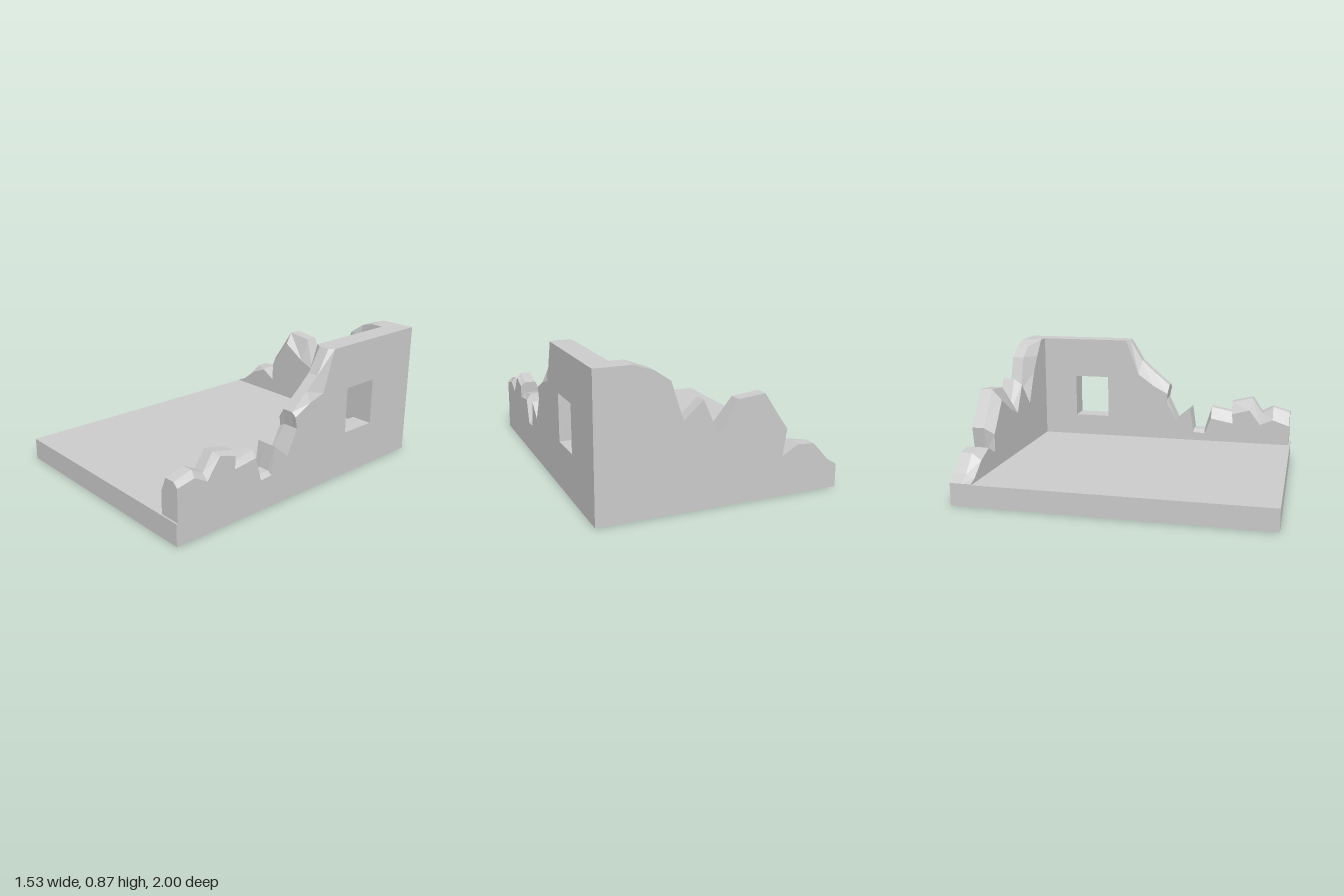
import * as THREE from 'three';

const FLOOR = 0.14;

// Ruined wall running along u, thickness along t. Each column is a broken top
// profile [[u, y], ...] at one depth t; the columns are lofted together.
function ruinedWall(columns, hole) {
  const pos = [];
  const tri = (...pts) => pts.forEach((p) => pos.push(...p));
  const quad = (a, b, c, d) => tri(a, b, c, a, c, d);
  const n = columns[0].top.length;
  const at = (i, j) => [...columns[j].top[i], columns[j].t];
  const foot = (i, j) => [columns[j].top[i][0], FLOOR, columns[j].t];

  // broken crown and the two ends
  for (let j = 0; j < columns.length - 1; j++) {
    for (let i = 0; i < n - 1; i++) quad(at(i, j), at(i, j + 1), at(i + 1, j + 1), at(i + 1, j));
    quad(foot(0, j), foot(0, j + 1), at(0, j + 1), at(0, j));
    quad(foot(n - 1, j + 1), foot(n - 1, j), at(n - 1, j), at(n - 1, j + 1));
  }

  // two broad faces, pierced by the window
  [columns[0], columns[columns.length - 1]].forEach(({ t, top }, side) => {
    const outline = [[top[0][0], FLOOR], [top[n - 1][0], FLOOR], ...[...top].reverse()];
    const shape = new THREE.Shape(outline.map((p) => new THREE.Vector2(...p)));
    if (hole) shape.holes.push(new THREE.Path(hole.map((p) => new THREE.Vector2(...p))));
    const face = new THREE.ShapeGeometry(shape);
    const p = face.attributes.position;
    const idx = face.index.array;
    for (let k = 0; k < idx.length; k += 3) {
      const pts = [0, 1, 2].map((m) => [p.getX(idx[k + m]), p.getY(idx[k + m]), t]);
      tri(...(side ? pts : pts.reverse()));
    }
  });

  // window reveal
  if (hole) {
    const t0 = columns[0].t, t1 = columns[columns.length - 1].t;
    hole.forEach((p, k) => {
      const q = hole[(k + 1) % hole.length];
      quad([...p, t0], [...p, t1], [...q, t1], [...q, t0]);
    });
  }

  const geo = new THREE.BufferGeometry();
  geo.setAttribute('position', new THREE.Float32BufferAttribute(pos, 3));
  geo.computeVertexNormals();
  return geo;
}

export function createModel() {
  const group = new THREE.Group();
  const mat = new THREE.MeshStandardMaterial({ color: 0xcccccc, flatShading: true });
  const add = (name, geo) => {
    const mesh = new THREE.Mesh(geo, mat);
    mesh.name = name;
    group.add(mesh);
    return mesh;
  };

  // floor slab
  add('floor', new THREE.BoxGeometry(1.53, FLOOR, 2)).position.y = FLOOR / 2;

  // back wall: high rear edge, chipped front edge
  const rear = [[-0.765, 0.145], [-0.7, 0.185], [-0.6, 0.295], [-0.49, 0.305], [-0.385, 0.245],
    [-0.41, 0.41], [-0.36, 0.48], [-0.255, 0.637], [-0.085, 0.62], [0.03, 0.42], [0.13, 0.64],
    [0.25, 0.535], [0.325, 0.765], [0.42, 0.83], [0.54, 0.87], [0.625, 0.87]];
  const front = [[-0.765, 0.145], [-0.71, 0.165], [-0.6, 0.25], [-0.48, 0.3], [-0.385, 0.245],
    [-0.38, 0.365], [-0.34, 0.42], [-0.24, 0.565], [-0.08, 0.465], [0.03, 0.42], [0.125, 0.6],
    [0.27, 0.44], [0.37, 0.65], [0.45, 0.76], [0.54, 0.87], [0.625, 0.87]];
  add('backWall', ruinedWall([
    { t: -1, top: rear }, { t: -0.92, top: rear }, { t: -0.86, top: front },
  ]));

  // side wall, profiles given as [z, y] from the front end to the back corner
  const ridge = [[0.99, 0.375], [0.87, 0.41], [0.79, 0.365], [0.72, 0.47], [0.57, 0.435],
    [0.575, 0.36], [0.42, 0.39], [0.37, 0.22], [0.29, 0.22], [0.265, 0.375], [0.16, 0.285],
    [0.085, 0.44], [0.1, 0.54], [-0.02, 0.64], [-0.11, 0.72], [-0.2, 0.87], [-1, 0.87]];
  const outer = [[0.99, 0.345], [0.87, 0.37], [0.78, 0.32], [0.69, 0.445], [0.575, 0.41],
    [0.58, 0.33], [0.42, 0.35], [0.375, 0.195], [0.29, 0.2], [0.265, 0.375], [0.16, 0.285],
    [0.085, 0.44], [0.1, 0.515], [-0.02, 0.575], [-0.14, 0.61], [-0.225, 0.87], [-1, 0.87]];
  const inner = [[0.99, 0.28], [0.87, 0.32], [0.78, 0.28], [0.7, 0.385], [0.575, 0.35],
    [0.58, 0.28], [0.42, 0.31], [0.375, 0.195], [0.29, 0.2], [0.265, 0.375], [0.16, 0.285],
    [0.085, 0.42], [0.09, 0.48], [-0.02, 0.54], [-0.13, 0.62], [-0.225, 0.87], [-1, 0.87]];
  const along = (profile) => profile.map(([z, y]) => [-z, y]);
  const windowHole = [[0.365, 0.29], [0.615, 0.29], [0.615, 0.59], [0.365, 0.59]];
  add('sideWall', ruinedWall([
    { t: 0.625, top: along(inner) }, { t: 0.665, top: along(ridge) },
    { t: 0.735, top: along(ridge) }, { t: 0.765, top: along(outer) },
  ], windowHole).rotateY(Math.PI / 2));

  return group;
}
